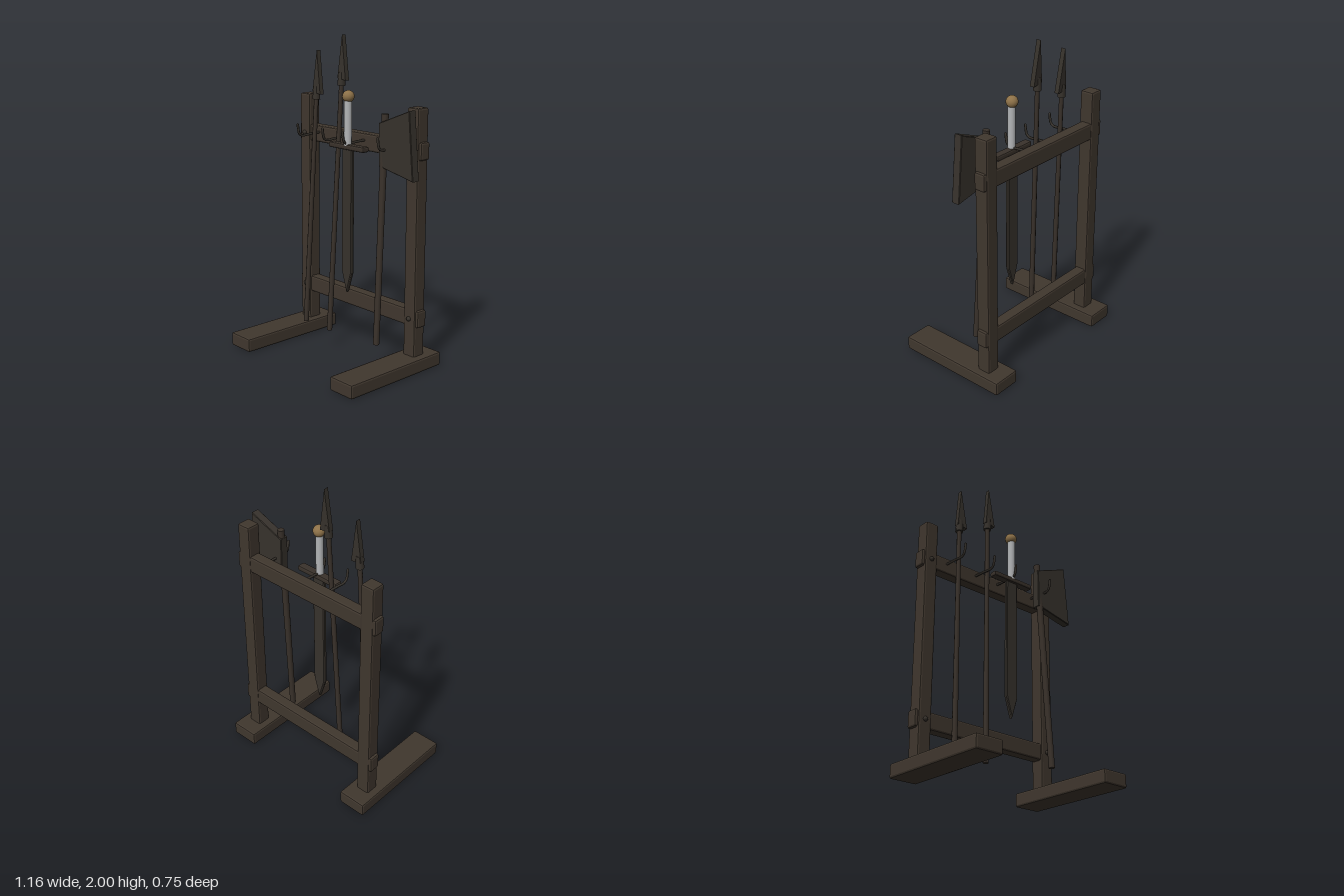
import * as THREE from 'three';
import { RoundedBoxGeometry } from 'three/addons/geometries/RoundedBoxGeometry.js';

const mat = (name, color) => {
  const m = new THREE.MeshStandardMaterial({ color });
  m.name = name;
  return m;
};

export function createModel() {
  const wood = mat('dark wood', 0x40372e);
  const shaftWood = mat('shaft wood', 0x3a322b);
  const iron = mat('dark iron', 0x37322c);
  const grip = mat('pale grip', 0xb4b6b8);
  const brass = mat('brass', 0x8d7148);
  const model = new THREE.Group();
  model.name = 'weaponRack';

  const add = (name, geo, material, pos = [0, 0, 0], parent = model) => {
    const mesh = new THREE.Mesh(geo, material);
    mesh.name = name;
    mesh.position.set(...pos);
    parent.add(mesh);
    return mesh;
  };

  // Chamfered box given by its minimum and maximum corners
  const block = (name, a, b, material, bevel = 0.012) => {
    const size = a.map((v, i) => b[i] - v);
    const geo = new RoundedBoxGeometry(...size, 1, bevel);
    geo.computeVertexNormals();
    return add(name, geo, material, a.map((v, i) => (v + b[i]) / 2));
  };

  // Flat plate cut from an outline, centred on z = 0
  const plate = (points, depth, bevel = 0) => {
    const shape = new THREE.Shape(points.map(p => new THREE.Vector2(...p)));
    const geo = new THREE.ExtrudeGeometry(shape, {
      depth: depth - 2 * bevel, bevelEnabled: bevel > 0, bevelSize: bevel,
      bevelThickness: bevel, bevelOffset: -bevel, bevelSegments: 1,
    });
    return geo.translate(0, 0, -depth / 2 + bevel);
  };

  // Group whose local y axis runs from one point towards another
  const leaning = (name, from, to) => {
    const g = new THREE.Group();
    g.name = name;
    const a = new THREE.Vector3(...from);
    const dir = new THREE.Vector3(...to).sub(a);
    g.position.copy(a);
    g.quaternion.setFromUnitVectors(new THREE.Vector3(0, 1, 0), dir.clone().normalize());
    g.userData.length = dir.length();
    model.add(g);
    return g;
  };

  // Frame: feet, posts, pegs and two rails
  for (const [side, x] of [['right', -0.487], ['left', 0.463]]) {
    block(side + 'Foot', [x - 0.093, 0, -0.377], [x + 0.093, 0.088, 0.377], wood);
    block(side + 'Post', [x - 0.045, 0.075, -0.275], [x + 0.045, 1.604, -0.185], wood);
    for (const y of [1.35, 0.325]) {
      add(side + 'Peg', new THREE.SphereGeometry(0.015, 10, 8), iron, [x, y, -0.183]);
    }
  }
  block('upperRail', [-0.55, 1.298, -0.27], [0.526, 1.406, -0.196], wood);
  block('lowerRail', [-0.55, 0.272, -0.27], [0.526, 0.38, -0.196], wood);

  // Hooks
  for (const x of [-0.36, -0.127, 0.053, 0.35]) {
    const path = new THREE.CatmullRomCurve3([
      [-0.2, 1.365], [-0.12, 1.362], [-0.045, 1.36], [-0.027, 1.375], [-0.016, 1.432],
    ].map(([z, y]) => new THREE.Vector3(x, y, z)));
    add('hook', new THREE.TubeGeometry(path, 14, 0.008, 6), iron);
    add('hookTip', new THREE.SphereGeometry(0.008, 6, 5), iron, [x, 1.432, -0.016]);
  }

  // Two spears
  const spear = (from, to) => {
    const g = leaning('spear', from, to);
    const len = g.userData.length;
    add('spearShaft', new THREE.CylinderGeometry(0.014, 0.017, len - 0.26, 8), shaftWood,
      [0, (len - 0.26) / 2, 0], g);
    add('spearCollar', new THREE.CylinderGeometry(0.02, 0.025, 0.08, 8), iron, [0, len - 0.265, 0], g);
    add('spearHead', plate([[-0.022, 0], [0.05, -0.01], [0, 0.26]], 0.03), iron, [0, len - 0.26, 0], g);
  };
  spear([-0.36, 0.115, -0.075], [-0.31, 1.89, -0.148]);
  spear([-0.13, 0.115, -0.075], [-0.08, 1.995, -0.148]);

  // Sword hanging point down
  const sx = 0.052, sz = -0.064;
  add('swordBlade', plate([[-0.044, 1.34], [-0.044, 0.555], [0, 0.42], [0.044, 0.555], [0.044, 1.34]], 0.026, 0.006),
    iron, [sx, 0, sz]);
  block('swordGuard', [-0.1, 1.322, -0.09], [0.206, 1.356, -0.038], shaftWood, 0.01);
  add('swordGrip', new THREE.CylinderGeometry(0.024, 0.024, 0.27, 12), grip, [sx, 1.483, sz + 0.003]);
  add('swordPommel', new THREE.SphereGeometry(0.037, 20, 14), brass, [sx, 1.643, sz]);

  // Axe
  const axe = leaning('axe', [0.346, 0.168, -0.025], [0.32, 1.563, -0.106]);
  const len = axe.userData.length;
  add('axeShaft', new THREE.CylinderGeometry(0.021, 0.019, len, 8), shaftWood, [0, len / 2, 0], axe);
  add('axeHead', plate([[0.3, 1.51], [0.302, 1.255], [0.576, 1.2], [0.54, 1.604]], 0.055, 0.004),
    iron, [0, 0, -0.1]);

  return model;
}
